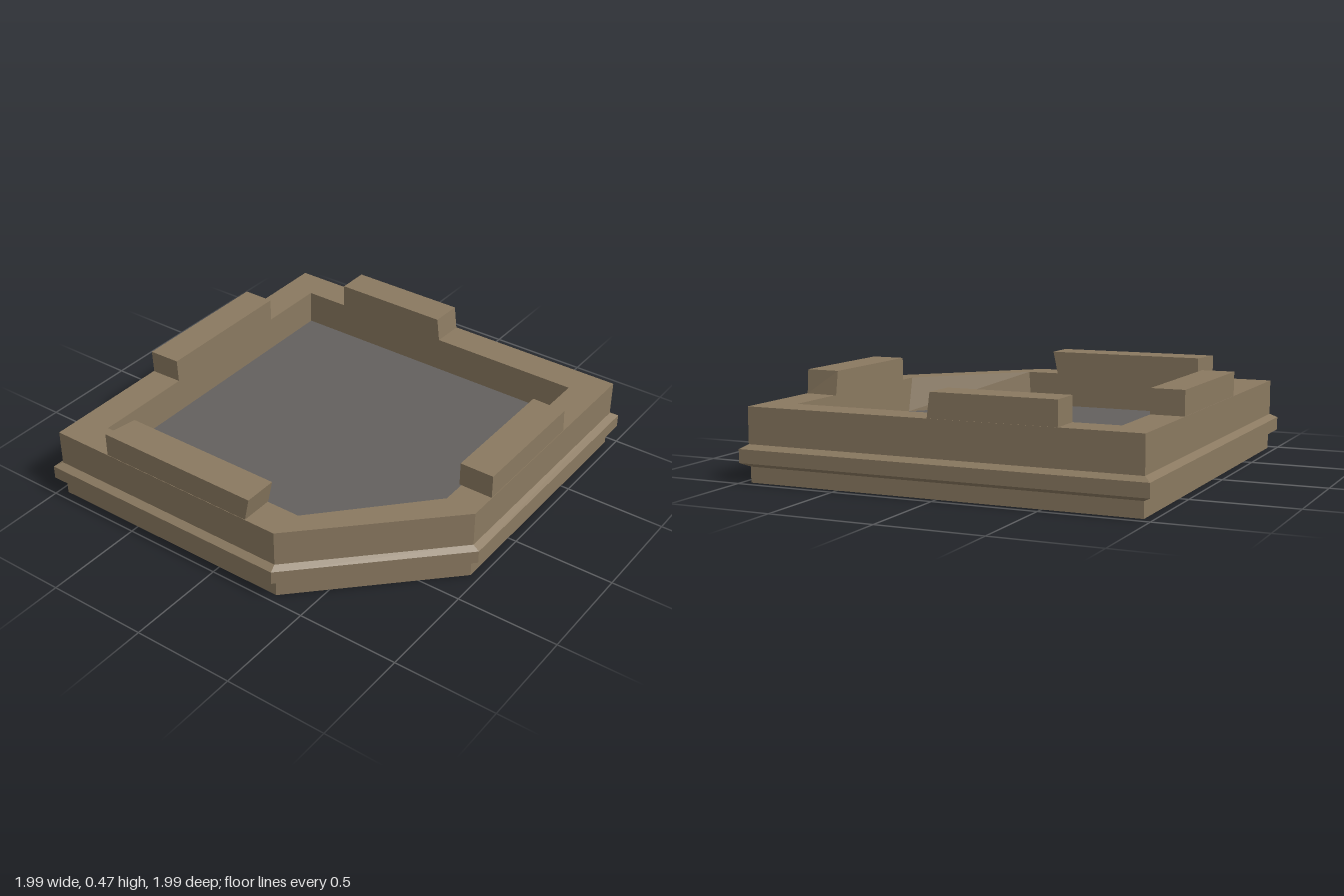
import * as THREE from 'three';

// Skin a stack of rings (points [x, y, z], counter-clockwise from above) with flat faces
function loft(rings, { capStart = false, capEnd = false } = {}) {
  const pos = [];
  const tri = (a, b, c) => pos.push(...a, ...b, ...c);
  const n = rings[0].length;
  for (let r = 0; r < rings.length - 1; r++) {
    const a = rings[r], b = rings[r + 1];
    for (let i = 0; i < n; i++) {
      const j = (i + 1) % n;
      tri(a[i], a[j], b[j]);
      tri(a[i], b[j], b[i]);
    }
  }
  const first = rings[0], last = rings[rings.length - 1];
  for (let i = 1; i < n - 1; i++) {
    if (capStart) tri(first[0], first[i + 1], first[i]);
    if (capEnd) tri(last[0], last[i], last[i + 1]);
  }
  const g = new THREE.BufferGeometry();
  g.setAttribute('position', new THREE.Float32BufferAttribute(pos, 3));
  g.computeVertexNormals();
  return g;
}

const ringAt = (y, plan) => plan.map(([x, z]) => [x, y, z]);

// Square plan of half-width h with the front left corner cut off
const cutSquare = (h, cx = 0.33, cz = 0.33) => [[-h, h], [cx, h], [h, cz], [h, -h], [-h, -h]];

export function createModel() {
  const stone = new THREE.MeshStandardMaterial({ color: 0x8a7960, flatShading: true });
  stone.name = 'brown stone';
  const paving = new THREE.MeshStandardMaterial({ color: 0x63605e, flatShading: true });
  paving.name = 'grey paving';

  const model = new THREE.Group();
  model.name = 'towerTop';
  const add = (name, geometry, material) => {
    const mesh = new THREE.Mesh(geometry, material);
    mesh.name = name;
    model.add(mesh);
  };

  const WALL = 0.355, TOP = 0.472, FLOOR = 0.18;
  const floorPlan = cutSquare(0.8, 0.33, 0.27);

  // Parapet: foot, projecting ledge, outer wall, wall top and inner wall
  add('parapet', loft([
    ringAt(0, cutSquare(0.957)),
    ringAt(0.075, cutSquare(0.957)),
    ringAt(0.095, cutSquare(0.995, 0.335, 0.335)),
    ringAt(0.16, cutSquare(0.995, 0.335, 0.335)),
    ringAt(0.18, cutSquare(0.962)),
    ringAt(WALL, cutSquare(0.962)),
    ringAt(WALL, cutSquare(0.8, 0.34, 0.31)),
    ringAt(FLOOR, floorPlan),
  ], { capStart: true }), stone);

  // Sunken floor
  add('floor', loft([ringAt(FLOOR, floorPlan)], { capEnd: true }), paving);

  // Raised blocks: base plan and top plan, with slightly skewed ends
  const blocks = {
    frontBlock: [
      [[-0.65, 0.96], [0.17, 0.96], [0.17, 0.795], [-0.62, 0.795]],
      [[-0.65, 0.96], [0.195, 0.96], [0.195, 0.795], [-0.62, 0.795]],
    ],
    leftBlock: [
      [[0.79, 0.19], [0.96, 0.19], [0.96, -0.46], [0.79, -0.475]],
      [[0.79, 0.19], [0.96, 0.19], [0.96, -0.45], [0.79, -0.455]],
    ],
    backBlock: [
      [[-0.575, -0.8], [0.035, -0.8], [0.04, -0.96], [-0.575, -0.96]],
      [[-0.575, -0.8], [0.02, -0.8], [0.025, -0.96], [-0.575, -0.96]],
    ],
    rightBlock: [
      [[-0.96, 0.295], [-0.8, 0.29], [-0.8, -0.45], [-0.96, -0.45]],
      [[-0.96, 0.3], [-0.8, 0.295], [-0.8, -0.45], [-0.96, -0.45]],
    ],
  };
  for (const [name, [base, top]] of Object.entries(blocks)) {
    add(name, loft([ringAt(WALL, base), ringAt(TOP, top)], { capEnd: true }), stone);
  }
  return model;
}
